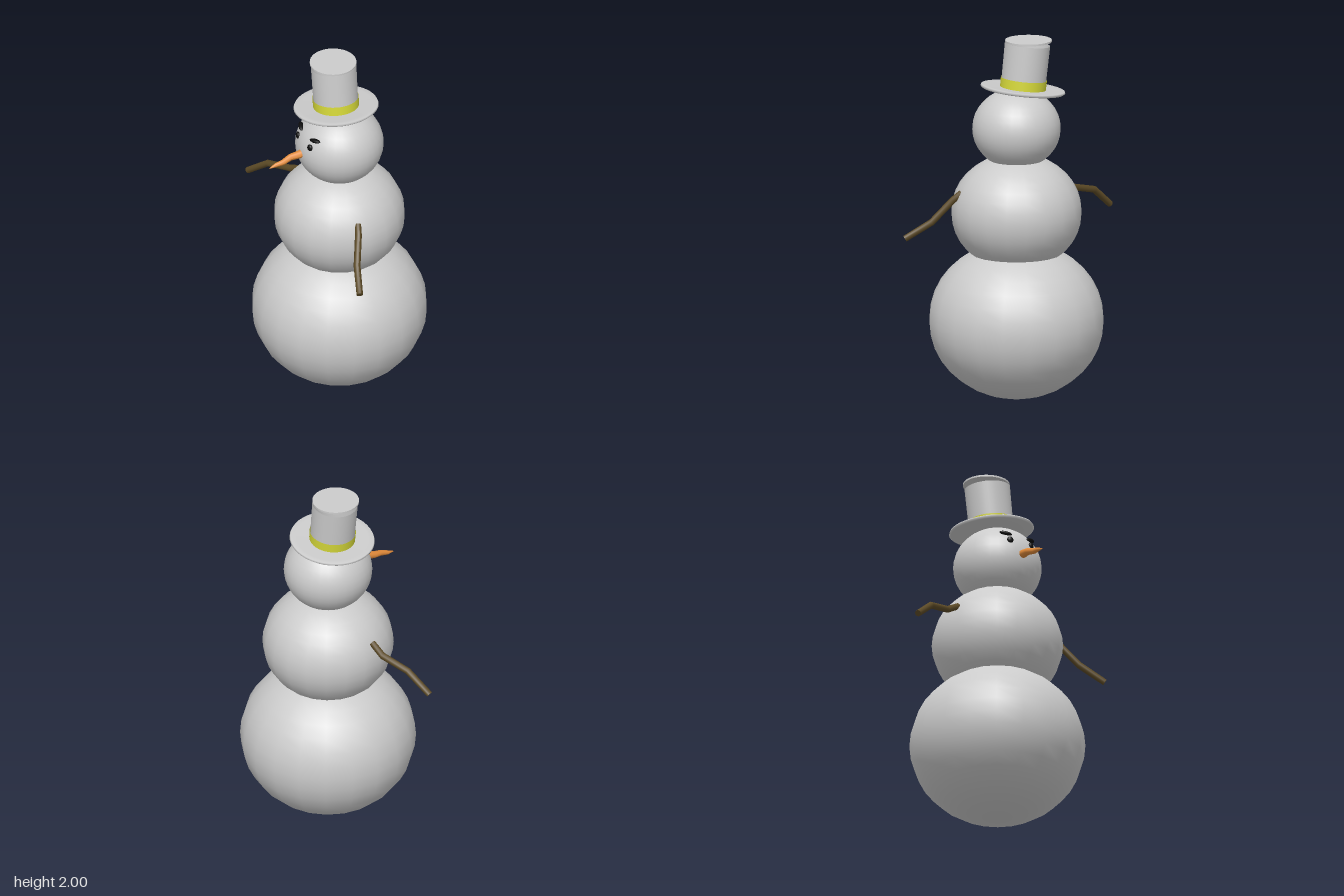
import * as THREE from 'three';

const mat = (color, side = THREE.FrontSide) => new THREE.MeshStandardMaterial({ color, side });
const V = (x, y, z) => new THREE.Vector3(x, y, z);

function part(parent, name, geometry, material) {
  const mesh = new THREE.Mesh(geometry, material);
  mesh.name = name;
  parent.add(mesh);
  return mesh;
}

// Bent, tapering rod: each ring of a cylinder is moved onto one path point
function rod(points, radii, sides = 12) {
  const n = points.length;
  const geo = new THREE.CylinderGeometry(1, 1, 1, sides, n - 1);
  const frames = points.map((p, i) => {
    const back = points[Math.max(i - 1, 0)].clone().sub(points[Math.min(i + 1, n - 1)]).normalize();
    return new THREE.Quaternion().setFromUnitVectors(V(0, 1, 0), back);
  });
  const pos = geo.attributes.position;
  for (let k = 0; k < pos.count; k++) {
    const i = Math.round((0.5 - pos.getY(k)) * (n - 1));
    const v = V(pos.getX(k), 0, pos.getZ(k)).multiplyScalar(radii[i]);
    v.applyQuaternion(frames[i]).add(points[i]);
    pos.setXYZ(k, v.x, v.y, v.z);
  }
  geo.computeVertexNormals();
  return geo;
}

export function createModel() {
  const model = new THREE.Group();
  model.name = 'snowman';
  const grey = mat(0xcccccc);
  const black = mat(0x0c0c0c);
  const wood = mat(0x5c4a26);
  const cz = 0.044;

  // Three slightly squashed snowballs
  const balls = [
    ['lowerBody', 0.44, 0.482, 0.436],
    ['middleBody', 1.045, 0.36, 0.322],
    ['head', 1.512, 0.243, 0.222],
  ];
  for (const [name, y, r, ry] of balls) {
    const ball = part(model, name, new THREE.SphereGeometry(1, name === 'head' ? 32 : 20, 18), grey);
    ball.position.set(0, y, cz);
    ball.scale.set(r, ry, r);
  }

  // Crooked carrot nose, pointing to -x
  part(model, 'nose', rod(
    [V(-0.2, 1.516, 0.043), V(-0.25, 1.508, 0.043), V(-0.3, 1.499, 0.034),
      V(-0.35, 1.487, 0.044), V(-0.39, 1.478, 0.037), V(-0.43, 1.47, 0.04)],
    [0.024, 0.023, 0.019, 0.016, 0.012, 0.002]), mat(0xe08a3a));

  // Eyes and brows, mirrored about the face
  for (const s of [1, -1]) {
    const side = s > 0 ? 'left' : 'right';
    const eye = part(model, side + 'Eye', new THREE.SphereGeometry(1, 14, 10), black);
    eye.position.set(-0.219, 1.585, cz + s * 0.07);
    eye.rotation.y = s * 0.31;
    eye.scale.set(0.012, 0.02, 0.018);

    const brow = part(model, side + 'Brow', new THREE.SphereGeometry(1, 14, 10), black);
    brow.position.set(-0.194, 1.63, cz + s * 0.082);
    brow.rotation.set(-s * 0.15, s * 0.4, 0, 'YXZ');
    brow.scale.set(0.015, 0.011, 0.036);
  }

  // Stick arms
  part(model, 'leftArm', rod(
    [V(-0.05, 1.17, 0.355), V(-0.07, 1.13, 0.4), V(-0.13, 1.005, 0.498), V(-0.185, 0.915, 0.635)],
    [0.018, 0.019, 0.019, 0.018]), wood);
  part(model, 'rightArm', rod(
    [V(-0.075, 1.17, -0.275), V(-0.088, 1.125, -0.355), V(-0.15, 1.085, -0.51), V(-0.207, 0.98, -0.637)],
    [0.018, 0.019, 0.019, 0.018]), wood);

  // Top hat tipped backwards toward -z
  const hat = new THREE.Group();
  hat.name = 'hat';
  hat.position.set(0, 1.725, 0.005);
  hat.rotation.x = -0.115;
  model.add(hat);

  const brim = [[0, -0.012], [0.17, -0.011], [0.225, -0.006], [0.234, 0.002],
    [0.23, 0.011], [0.2, 0.01], [0.12, 0.008]].map(([x, y]) => new THREE.Vector2(x, y));
  part(hat, 'brim', new THREE.LatheGeometry(brim, 40), mat(0xcccccc, THREE.DoubleSide));

  const crown = part(hat, 'crown',
    new THREE.CylinderGeometry(0.125, 0.122, 0.25, 40, 1, true), mat(0xcccccc, THREE.DoubleSide));
  crown.position.y = 0.128;

  const band = part(hat, 'band',
    new THREE.CylinderGeometry(0.127, 0.126, 0.052, 40, 1, true), mat(0xd6d93a, THREE.DoubleSide));
  band.position.y = 0.034;

  // Level lid resting on the tilted crown
  const lid = part(model, 'lid', new THREE.CylinderGeometry(0.128, 0.128, 0.01, 40), grey);
  lid.position.set(0, 1.995, -0.03);

  return model;
}
